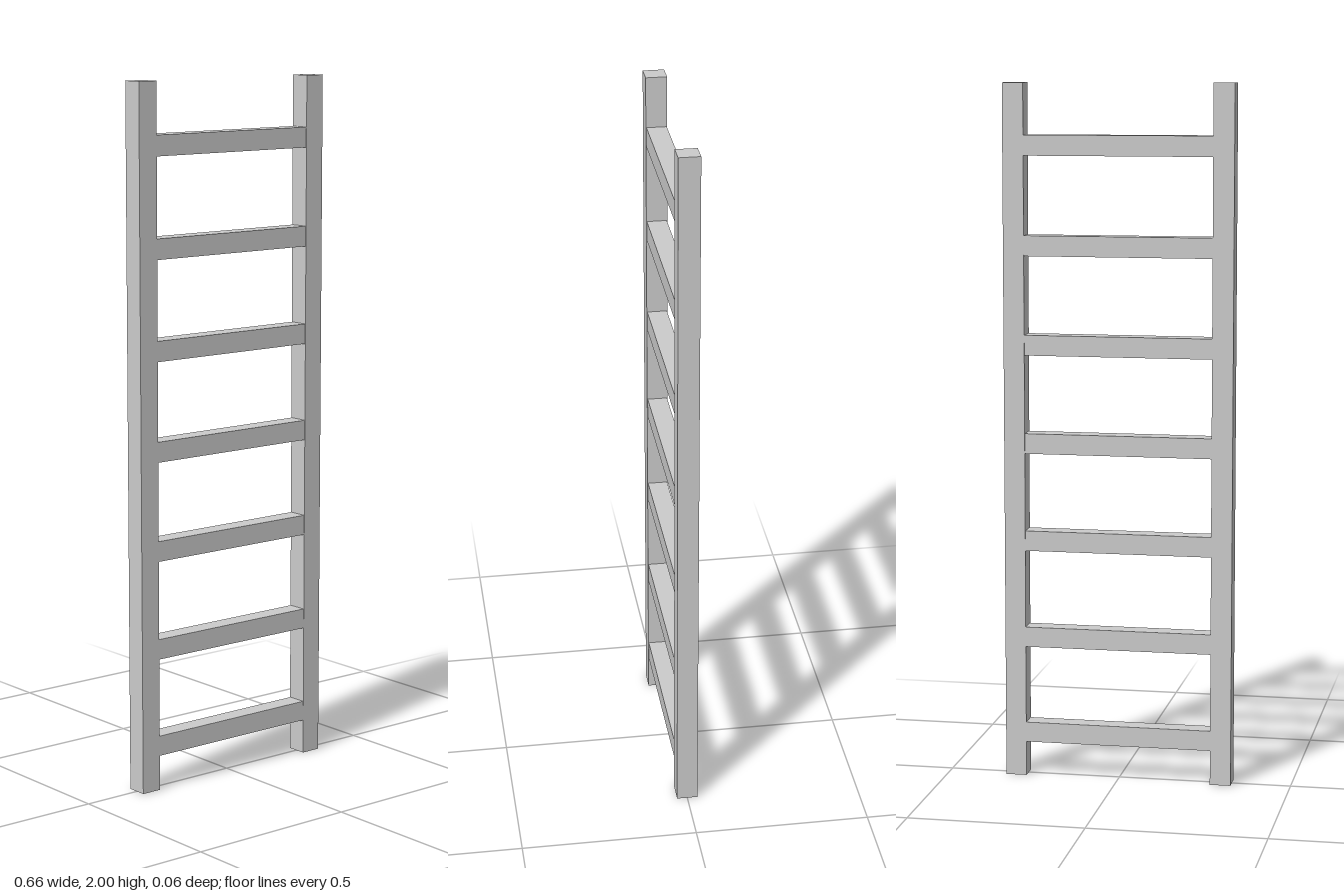
import * as THREE from 'three';

export function createModel() {
  const group = new THREE.Group();
  const material = new THREE.MeshStandardMaterial({ color: 0xcccccc, flatShading: true });

  const height = 2, railSize = 0.06, railX = 0.3;
  const rungCount = 7, firstRung = 0.129, lastRung = 1.825;

  function addBox(name, w, h, d, x, y) {
    const mesh = new THREE.Mesh(new THREE.BoxGeometry(w, h, d), material);
    mesh.name = name;
    mesh.position.set(x, y, 0);
    group.add(mesh);
  }

  // Upright side rails
  addBox('leftRail', railSize, height, railSize, railX, height / 2);
  addBox('rightRail', railSize, height, railSize, -railX, height / 2);

  // Evenly spaced rungs, slightly thinner than the rails
  const rungLength = 2 * railX - railSize;
  for (let i = 0; i < rungCount; i++) {
    const y = THREE.MathUtils.lerp(firstRung, lastRung, i / (rungCount - 1));
    addBox(`rung${i + 1}`, rungLength, 0.058, 0.057, 0, y);
  }

  return group;
}
